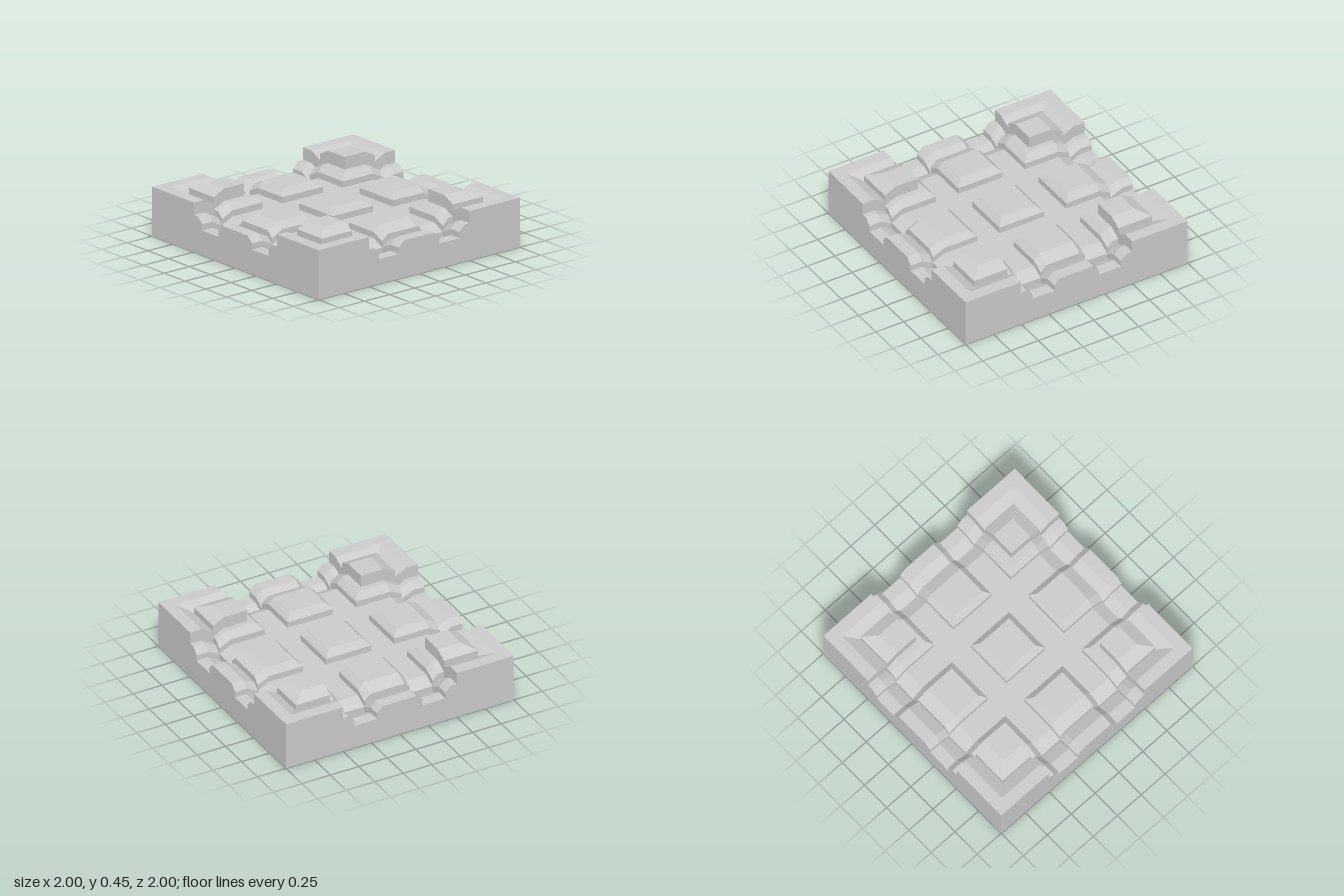
import * as THREE from 'three';

const half = [0.15, 0.2, 0.4, 0.45, 0.5, 0.7, 0.8, 0.9, 1, 1.1];
const lines = [...half.map((v) => -v).reverse(), ...half];
const outside = (x, z) => Math.max(Math.abs(x), Math.abs(z)) > 1;

// Distance inside a block along one axis (negative in a channel)
const inset = (v) => (Math.abs(v) < 0.3 ? 0.2 - Math.abs(v) : Math.abs(v) - 0.4);

// Groove that runs round the border, dropping the outer rim
function groove(m) {
  if (m < 0.7) return 0;
  if (m < 0.8) return -(m - 0.7) / 2;
  if (m < 0.9) return -0.1 + (m - 0.8) / 2;
  return -0.05;
}

// Relief height: channels, bevelled blocks, raised corners, border groove
function height(x, z) {
  if (outside(x, z)) return 0;
  const ax = Math.abs(x), az = Math.abs(z);
  const d = Math.min(inset(x), inset(z));
  let h = d < 0 ? 0.25 : 0.3 + Math.min(d, 0.05);
  if (ax > 0.5 && az > 0.5) h = 0.45;
  return h + groove(Math.max(ax, az));
}

function partName(x, z) {
  if (inset(x) < 0 || inset(z) < 0) return 'channelFloor';
  const outer = (Math.abs(x) > 0.3) + (Math.abs(z) > 0.3);
  return ['centreBlock', 'edgeBlocks', 'cornerBlocks'][outer];
}

export function createModel() {
  const group = new THREE.Group();
  group.name = 'reliefTile';
  const material = new THREE.MeshStandardMaterial({ color: 0xcccccc, flatShading: true });
  const parts = {};
  const quad = (name, a, b, c, d) => (parts[name] ??= []).push(...a, ...b, ...c, ...a, ...c, ...d);

  // Corner of a cell, with the height approached from inside that cell
  const corner = (x, z, mx, mz) => {
    const h = height(x + (mx - x) * 1e-4, z + (mz - z) * 1e-4);
    return [x, Math.round(h * 1000) / 1000, z];
  };
  const mid = (i) => (lines[i] + lines[i + 1]) / 2;

  // Vertical wall wherever two neighbouring cells meet at different heights
  const wall = (lowA, lowB, topB, topA, p, q) => {
    if (lowA[1] === topA[1] && lowB[1] === topB[1]) return;
    const edge = outside(...p) || outside(...q);
    const higher = lowA[1] + lowB[1] < topA[1] + topB[1] ? p : q;
    quad(edge ? 'sideWalls' : partName(...higher), lowA, lowB, topB, topA);
  };

  const n = lines.length - 1;
  for (let i = 0; i < n; i++) {
    for (let j = 0; j < n; j++) {
      const [x0, x1, z0, z1] = [lines[i], lines[i + 1], lines[j], lines[j + 1]];
      const mx = mid(i), mz = mid(j);

      // Top surface, split along the mitre
      if (!outside(mx, mz)) {
        const a = corner(x0, z0, mx, mz), b = corner(x0, z1, mx, mz);
        const c = corner(x1, z1, mx, mz), d = corner(x1, z0, mx, mz);
        const alongAC = Math.abs((a[1] + c[1]) / 2 - height(mx, mz)) < 1e-3;
        if (alongAC) quad(partName(mx, mz), a, b, c, d);
        else quad(partName(mx, mz), b, c, d, a);
      }

      // Walls towards the next cell in x and in z
      if (i < n - 1) {
        const nx = mid(i + 1);
        wall(corner(x1, z1, nx, mz), corner(x1, z0, nx, mz),
          corner(x1, z0, mx, mz), corner(x1, z1, mx, mz), [mx, mz], [nx, mz]);
      }
      if (j < n - 1) {
        const nz = mid(j + 1);
        wall(corner(x0, z1, mx, nz), corner(x1, z1, mx, nz),
          corner(x1, z1, mx, mz), corner(x0, z1, mx, mz), [mx, mz], [mx, nz]);
      }
    }
  }

  // Underside: rim and shallow square recess
  const r = 0.8, t = 0.05;
  const ring = [[-1, -1], [1, -1], [1, 1], [-1, 1]];
  ring.forEach(([x, z], k) => {
    const [u, w] = ring[(k + 1) % 4];
    quad('bottomRim', [x, 0, z], [u, 0, w], [u * r, 0, w * r], [x * r, 0, z * r]);
    quad('recessWalls', [x * r, 0, z * r], [u * r, 0, w * r], [u * r, t, w * r], [x * r, t, z * r]);
  });
  quad('recessFloor', ...ring.map(([x, z]) => [x * r, t, z * r]));

  for (const [name, positions] of Object.entries(parts)) {
    const geometry = new THREE.BufferGeometry();
    geometry.setAttribute('position', new THREE.Float32BufferAttribute(positions, 3));
    geometry.computeVertexNormals();
    const mesh = new THREE.Mesh(geometry, material);
    mesh.name = name;
    group.add(mesh);
  }
  return group;
}
